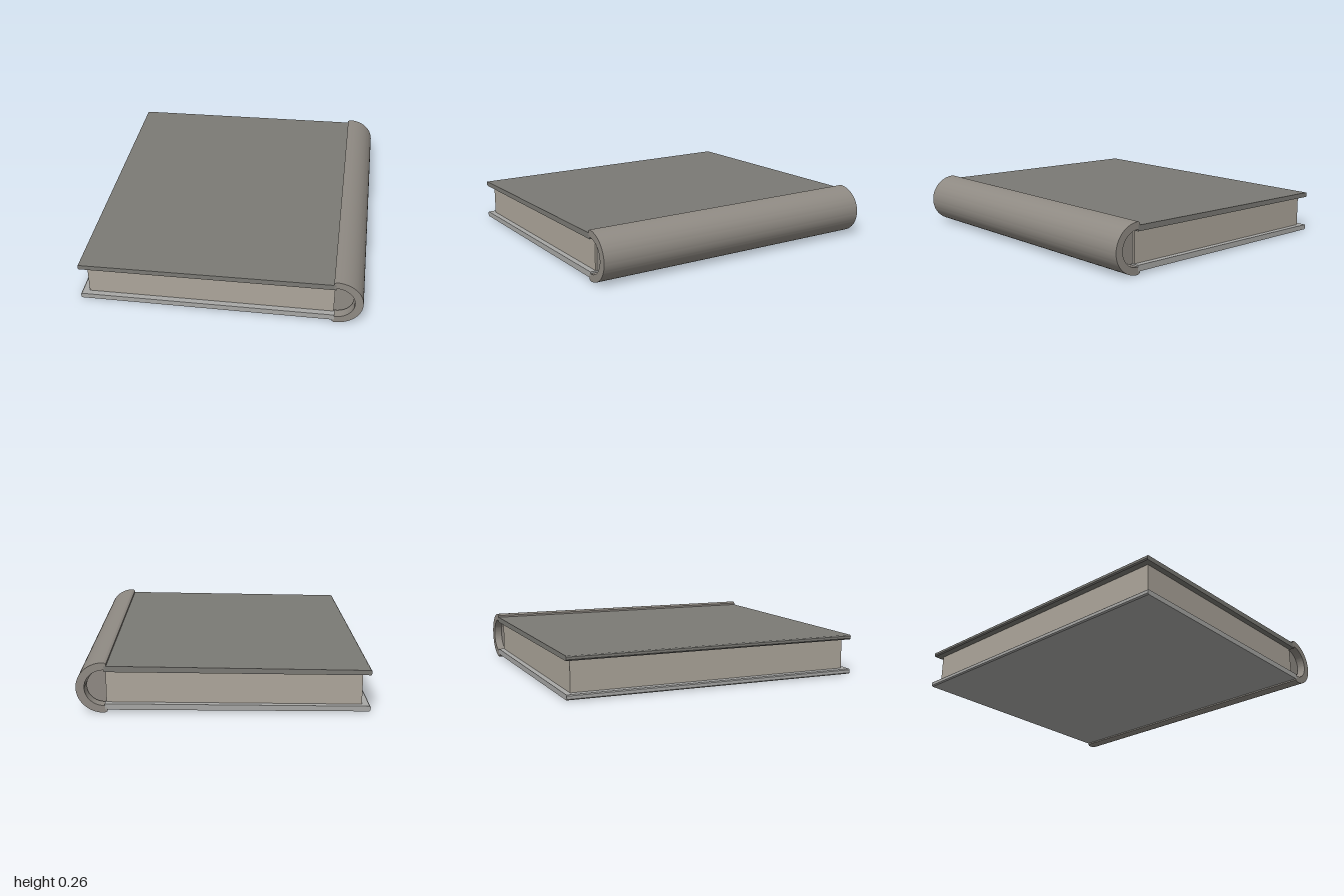
import * as THREE from 'three';
import { toCreasedNormals } from 'three/addons/utils/BufferGeometryUtils.js';

const HALF = 0.805;   // half the height of the book along its spine
const CX = 0.592;     // centre of the spine's rounding
const CY = 0.13;
const LAP = 0.578;    // edge of the spine where it laps over the boards

const TOP = 0x7b7a75;
const BOTTOM = 0xa8a8a6;
const SPINE = 0x8f8a83;
const PAPER = 0xada69b;

// Extrudes a cross-section along the spine direction, centred on z = 0
function slab(name, color, shape, half) {
  const geometry = new THREE.ExtrudeGeometry(shape, {
    depth: half * 2, bevelEnabled: false, curveSegments: 24,
  });
  geometry.translate(0, 0, -half);
  const mesh = new THREE.Mesh(
    toCreasedNormals(geometry, 0.6),
    new THREE.MeshStandardMaterial({ color }),
  );
  mesh.name = name;
  return mesh;
}

const polygon = (points) => new THREE.Shape(points.map(([x, y]) => new THREE.Vector2(x, y)));

export function createModel() {
  const book = new THREE.Group();
  book.name = 'book';

  // Boards, swelling slightly towards the spine, with softened fore edges
  book.add(slab('topCover', TOP, polygon([
    [-0.73, 0.2], [-0.725, 0.193], [0.59, 0.212], [0.59, 0.242], [-0.723, 0.218], [-0.73, 0.213],
  ]), HALF));
  book.add(slab('bottomCover', BOTTOM, polygon([
    [-0.73, 0.01], [-0.723, 0.004], [0.59, 0.016], [0.59, 0.047], [-0.725, 0.031], [-0.73, 0.026],
  ]), HALF));

  // Page block, inset on three sides
  book.add(slab('pages', PAPER, polygon([
    [-0.69, 0.025], [0.585, 0.04], [0.585, 0.218], [-0.69, 0.2],
  ]), HALF - 0.03));

  // Rounded back of the pages, recessed inside the spine
  const back = new THREE.Shape();
  back.moveTo(0.58, 0.045);
  back.lineTo(CX, 0.045);
  back.absellipse(CX, CY, 0.09, 0.085, -Math.PI / 2, Math.PI / 2, false);
  back.lineTo(0.58, 0.215);
  book.add(slab('pagesBack', SPINE, back, HALF - 0.04));

  // Rounded spine shell, lapping over both boards
  const spine = new THREE.Shape();
  spine.moveTo(LAP, 0.008);
  spine.lineTo(LAP + 0.012, 0);
  spine.lineTo(CX, 0);
  spine.absellipse(CX, CY, 0.139, 0.13, -Math.PI / 2, Math.PI / 2, false);
  spine.lineTo(LAP + 0.012, 0.26);
  spine.lineTo(LAP, 0.252);
  spine.lineTo(LAP, 0.222);
  spine.lineTo(CX, 0.222);
  spine.absellipse(CX, CY, 0.097, 0.092, Math.PI / 2, -Math.PI / 2, true);
  spine.lineTo(LAP, 0.038);
  book.add(slab('spine', SPINE, spine, HALF));

  // The book lies turned on the ground
  book.rotation.y = 0.334;
  const model = new THREE.Group();
  model.name = 'lyingBook';
  model.add(book);
  return model;
}
